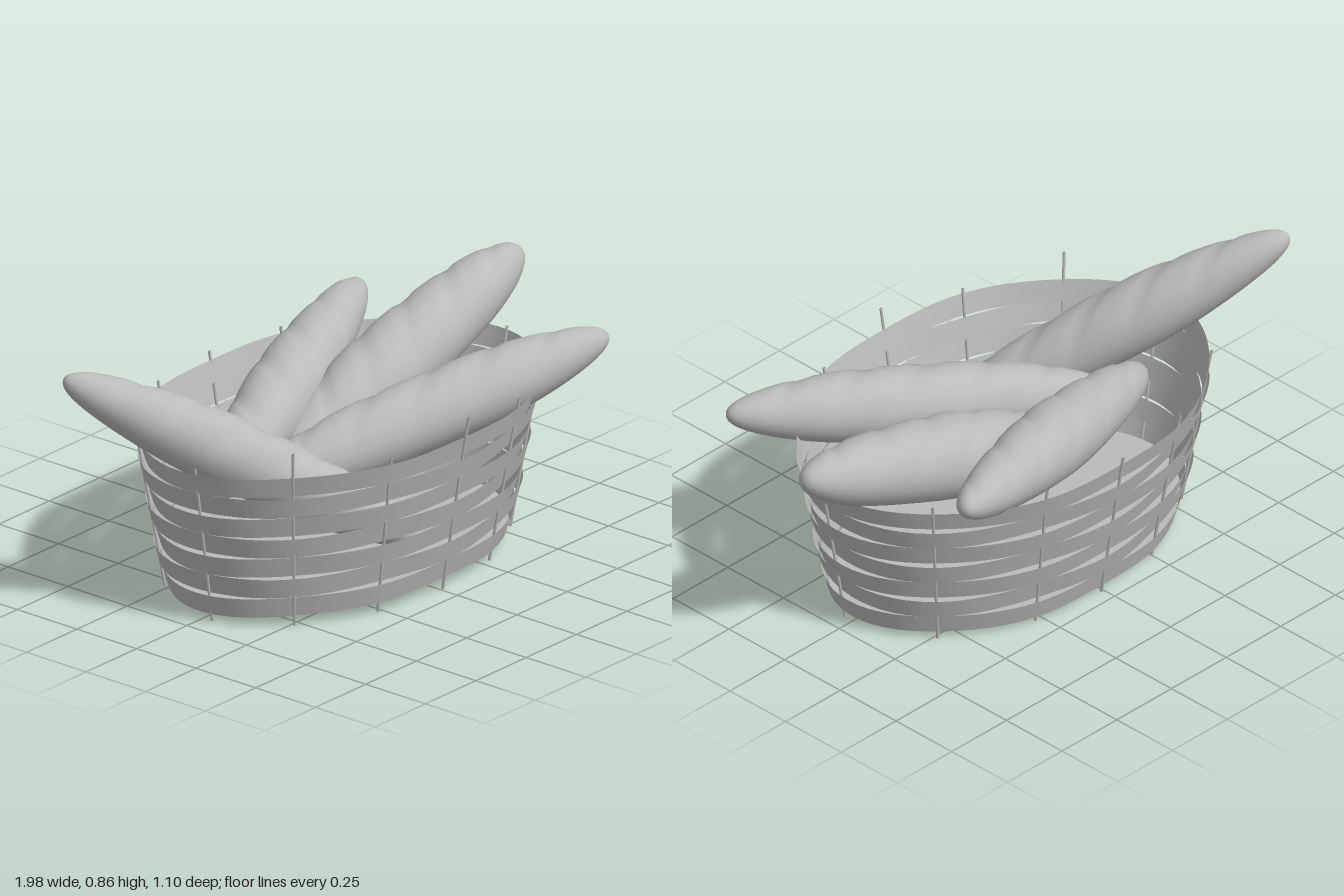
import * as THREE from 'three';
import { mergeVertices } from 'three/addons/utils/BufferGeometryUtils.js';

const CX = 0.01, CZ = -0.01;
const radX = y => 0.68 + 0.175 * y;
const radZ = y => 0.44 + 0.175 * y;

// Stake angles from the front (+z) round through +x, in degrees
const HALF = [0, 24, 52, 84, 125, 157, 180];
const STAKES = [...HALF, ...HALF.slice(1, 6).reverse().map(a => 360 - a)];

// Point on the basket wall, pushed outwards by off
function wall(angle, y, off = 0) {
  return new THREE.Vector3(
    CX + (radX(y) + off) * Math.sin(angle), y,
    CZ + (radZ(y) + off) * Math.cos(angle));
}

// Woven strip passing alternately inside and outside the stakes
function bandGeometry(index) {
  const positions = [], indices = [], steps = 8, n = STAKES.length;
  const low = 0.024 + index * 0.0745, sign = index % 2 ? 1 : -1;
  for (let i = 0; i <= n * steps; i++) {
    const k = Math.floor(i / steps) % n, f = (i % steps) / steps;
    const next = k + 1 < n ? STAKES[k + 1] : 360;
    const angle = THREE.MathUtils.degToRad(STAKES[k] + (next - STAKES[k]) * f);
    const off = sign * 0.007 * Math.cos(Math.PI * (k + f));
    const tilt = 0.01 * Math.cos(angle);
    positions.push(...wall(angle, low + tilt, off - 0.004), ...wall(angle, low + 0.071 + tilt, off + 0.004));
    if (i < n * steps) {
      const a = i * 2;
      indices.push(a, a + 2, a + 1, a + 1, a + 2, a + 3);
    }
  }
  const g = new THREE.BufferGeometry();
  g.setAttribute('position', new THREE.Float32BufferAttribute(positions, 3));
  g.setIndex(indices);
  g.computeVertexNormals();
  return g;
}

// Long blunt loaf along y, with slanted slashes on its +z side
function loafGeometry(length, radius, phase) {
  const profile = [], rows = 56;
  for (let i = 0; i <= rows; i++) {
    const t = (1 - Math.cos(Math.PI * i / rows)) / 2;
    const r = i === 0 || i === rows ? 0 : radius * Math.pow(Math.sin(Math.PI * t), 0.43);
    profile.push(new THREE.Vector2(r, (t - 0.5) * length));
  }
  let g = new THREE.LatheGeometry(profile, 20);
  g.deleteAttribute('uv');
  g.deleteAttribute('normal');
  g = mergeVertices(g, 1e-5);
  const p = g.attributes.position;
  for (let i = 0; i < p.count; i++) {
    const x = p.getX(i), y = p.getY(i), z = p.getZ(i);
    const r = Math.hypot(x, z);
    if (r < 1e-4) continue;
    const top = Math.max(0, z / r);
    const s = (y / length + 0.5) * 6 + 0.6 * x / radius + phase;
    const groove = Math.pow(0.5 + 0.5 * Math.cos(2 * Math.PI * s), 6);
    const k = 1 + 0.02 * Math.sin(9 * y + phase * 5) - 0.09 * top * groove;
    p.setXYZ(i, x * k, y, z * k);
  }
  g.computeVertexNormals();
  return g;
}

export function createModel() {
  const model = new THREE.Group();
  model.name = 'breadBasket';
  const grey = new THREE.MeshStandardMaterial({ color: 0xbababa, side: THREE.DoubleSide });
  grey.name = 'lightGrey';

  const add = (parent, name, geometry) => {
    const mesh = new THREE.Mesh(geometry, grey);
    mesh.name = name;
    parent.add(mesh);
    return mesh;
  };

  const basket = new THREE.Group();
  basket.name = 'basket';
  model.add(basket);

  // Floor
  const floor = add(basket, 'floor', new THREE.CylinderGeometry(1, 1, 0.006, 64));
  floor.scale.set(0.675, 1, 0.435);
  floor.position.set(CX, 0.034, CZ);

  // Woven bands
  for (let i = 0; i < 7; i++) add(basket, 'band' + (i + 1), bandGeometry(i));

  // Upright stakes
  const heights = [0.625, 0.575, 0.57, 0.56, 0.565, 0.56, 0.56, 0.565, 0.56, 0.56, 0.64, 0.575];
  STAKES.forEach((deg, i) => {
    const a = THREE.MathUtils.degToRad(deg);
    const path = new THREE.LineCurve3(wall(a, 0), wall(a, heights[i]));
    add(basket, 'stake' + (i + 1), new THREE.TubeGeometry(path, 1, 0.005, 6));
  });

  // Loaves: high end, low end, radius
  const loaves = [
    ['leaningLoaf', [-0.975, 0.84, -0.325], [-0.08, 0.2, 0.42], 0.118],
    ['backLoaf', [0.645, 0.62, -0.455], [-0.58, 0.38, -0.05], 0.122],
    ['sideLoaf', [0.995, 0.725, -0.08], [-0.2, 0.34, -0.1], 0.139],
    ['frontLoaf', [0.8, 0.635, 0.455], [-0.45, 0.36, -0.03], 0.125],
  ];
  const up = new THREE.Vector3(0, 1, 0);
  loaves.forEach(([name, high, low, radius], i) => {
    const a = new THREE.Vector3(...high), b = new THREE.Vector3(...low);
    const dir = a.clone().sub(b).normalize();
    const side = dir.clone().cross(up).normalize();
    const top = side.clone().cross(dir);
    const loaf = add(model, name, loafGeometry(a.distanceTo(b), radius, i * 0.3));
    loaf.quaternion.setFromRotationMatrix(new THREE.Matrix4().makeBasis(side, dir, top));
    loaf.position.copy(a).add(b).multiplyScalar(0.5);
  });

  return model;
}
